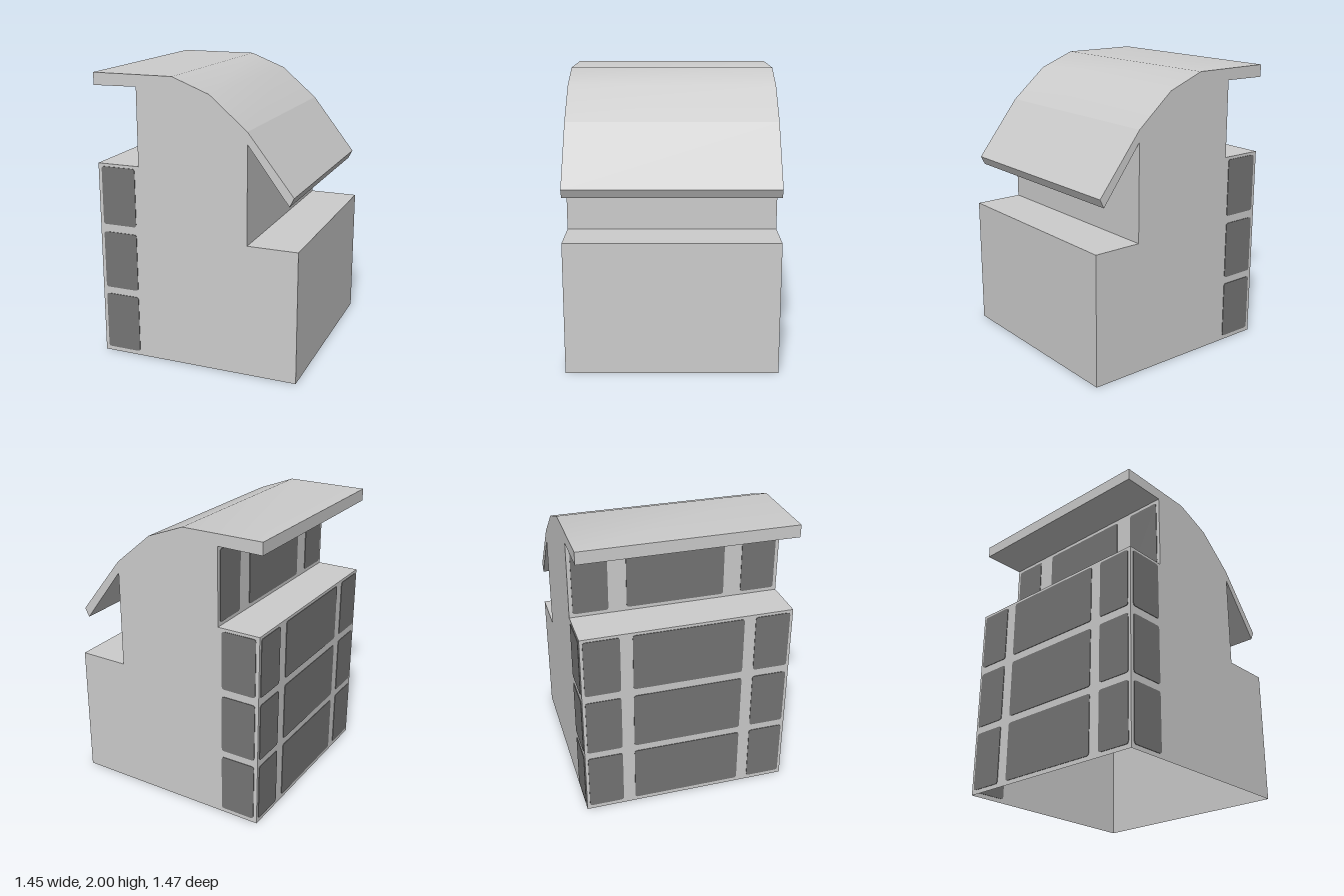
import * as THREE from 'three';

const wallMat = new THREE.MeshStandardMaterial({ color: 0xcccccc, side: THREE.DoubleSide });
wallMat.name = 'pale grey wall';
const glassMat = new THREE.MeshStandardMaterial({ color: 0x757575 });
glassMat.name = 'dark grey glass';

const HALF = 0.73; // half depth along z

// Sheet swept along z through a line of [x, y] points, smooth across its joints
function sheet(points) {
  const pos = [], index = [];
  points.forEach(([x, y], i) => {
    pos.push(x, y, HALF, x, y, -HALF);
    if (i) {
      const a = 2 * (i - 1);
      index.push(a, a + 2, a + 1, a + 2, a + 3, a + 1);
    }
  });
  const geo = new THREE.BufferGeometry();
  geo.setAttribute('position', new THREE.Float32BufferAttribute(pos, 3));
  geo.setIndex(index);
  geo.computeVertexNormals();
  return geo;
}

// Thin pane with rounded corners, centred on its own origin
function paneGeometry(w, h, r = 0.02, t = 0.008) {
  const x = w / 2, y = h / 2;
  const s = new THREE.Shape();
  s.moveTo(-x + r, -y);
  s.lineTo(x - r, -y);
  s.quadraticCurveTo(x, -y, x, -y + r);
  s.lineTo(x, y - r);
  s.quadraticCurveTo(x, y, x - r, y);
  s.lineTo(-x + r, y);
  s.quadraticCurveTo(-x, y, -x, y - r);
  s.lineTo(-x, -y + r);
  s.quadraticCurveTo(-x, -y, -x + r, -y);
  const geo = new THREE.ExtrudeGeometry(s, { depth: t, bevelEnabled: false, curveSegments: 4 });
  return geo.translate(0, 0, -t / 2);
}

export function createModel() {
  const model = new THREE.Group();
  model.name = 'house';
  const add = (name, geo, mat) => {
    const mesh = new THREE.Mesh(geo, mat);
    mesh.name = name;
    model.add(mesh);
    return mesh;
  };

  // Outline of the house, clockwise from the foot of the window wall
  const outline = [
    [-0.715, 0], [-0.715, 1.385], [-0.41, 1.385], [-0.41, 1.92], [-0.725, 1.915],
    [-0.725, 2], [-0.15, 2], [0.11, 1.9], [0.37, 1.68], [0.685, 1.28],
    [0.655, 1.22], [0.37, 1.6], [0.37, 0.925], [0.72, 0.925], [0.72, 0],
  ];

  // Gable walls
  const gable = new THREE.Shape(outline.map(([x, y]) => new THREE.Vector2(x, y)));
  add('frontGable', new THREE.ShapeGeometry(gable).translate(0, 0, HALF), wallMat);
  add('backGable', new THREE.ShapeGeometry(gable).rotateY(Math.PI).scale(-1, 1, 1)
    .translate(0, 0, -HALF), wallMat);
  const back = model.getObjectByName('backGable').geometry;
  // Turn the mirrored gable so that it faces backwards
  const idx = back.index;
  for (let i = 0; i < idx.count; i += 3) {
    const [a, b, c] = [idx.getX(i), idx.getX(i + 1), idx.getX(i + 2)];
    const p = back.attributes.position;
    const area = (p.getX(b) - p.getX(a)) * (p.getY(c) - p.getY(a))
      - (p.getX(c) - p.getX(a)) * (p.getY(b) - p.getY(a));
    if (area > 0) { idx.setX(i + 1, c); idx.setX(i + 2, b); }
  }
  back.computeVertexNormals();

  // Flat sheets round the outline, with a smooth curved roof; the floor stays open
  const names = ['windowWall', 'galleryLedge', 'upperWall', 'eaveUnderside', 'eaveEdge',
    '', '', '', 'steepRoof', 'steepRoofEdge', 'steepRoofUnderside', 'rightUpperWall',
    'annexRoof', 'annexWall'];
  names.forEach((name, i) => {
    if (name) add(name, sheet(outline.slice(i, i + 2)), wallMat);
  });
  add('curvedRoof', sheet(outline.slice(5, 9)), wallMat);

  // Windows: columns [from, to] along z, rows [from, to] in height
  const columns = [[-0.71, -0.465], [-0.38, 0.385], [0.465, 0.71]];
  const upperColumns = [[-0.705, -0.465], [-0.34, 0.34], [0.465, 0.705]];
  const rows = [[0.03, 0.44], [0.49, 0.9], [0.955, 1.365]];
  const sidePane = (name, x, [z0, z1], [y0, y1]) => {
    const pane = add(name, paneGeometry(z1 - z0, y1 - y0), glassMat);
    pane.rotation.y = -Math.PI / 2;
    pane.position.set(x, (y0 + y1) / 2, (z0 + z1) / 2);
  };
  for (const row of rows) {
    for (const column of columns) sidePane('sideWindow', -0.715, column, row);
    for (const z of [HALF, -HALF]) {
      const pane = add(z > 0 ? 'frontWindow' : 'backWindow',
        paneGeometry(0.25, row[1] - row[0]), glassMat);
      pane.position.set(-0.565, (row[0] + row[1]) / 2, z);
    }
  }
  for (const column of upperColumns) sidePane('upperWindow', -0.41, column, [1.41, 1.895]);

  return model;
}
